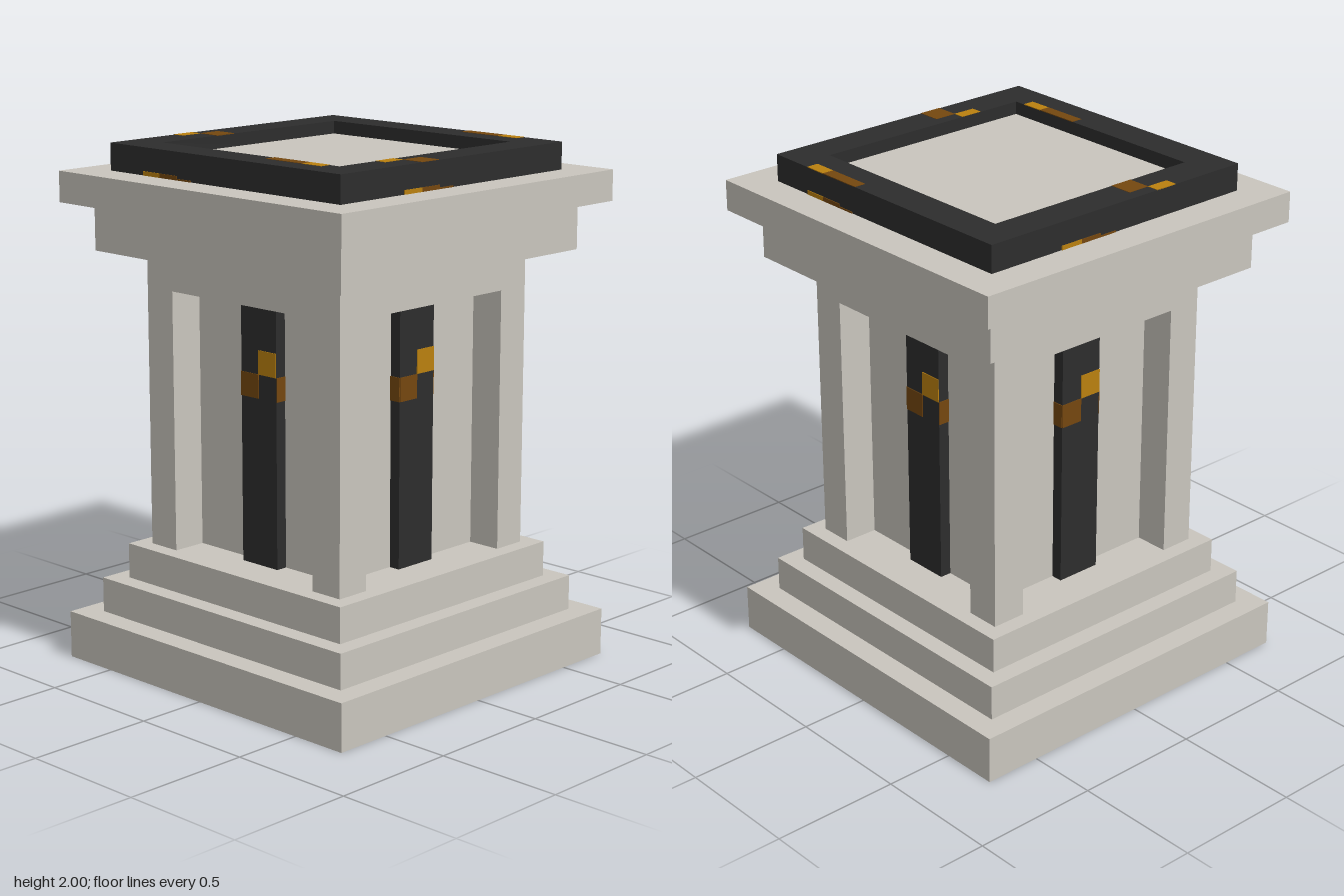
import * as THREE from 'three';

export function createModel() {
  const model = new THREE.Group();
  model.name = 'pedestal';
  const mat = (name, color) => {
    const m = new THREE.MeshStandardMaterial({ color });
    m.name = name;
    return m;
  };
  const stone = mat('pale stone', 0xc9c5bd);
  const dark = mat('charcoal', 0x2d2d2d);
  const gold = mat('gold', 0xba800f);
  const brown = mat('brown', 0x74470f);

  // Box given by its extents along each axis
  const box = (parent, name, material, [x0, x1], [y0, y1], [z0, z1]) => {
    const mesh = new THREE.Mesh(new THREE.BoxGeometry(x1 - x0, y1 - y0, z1 - z0), material);
    mesh.position.set((x0 + x1) / 2, (y0 + y1) / 2, (z0 + z1) / 2);
    mesh.name = name;
    parent.add(mesh);
  };
  const slab = (name, r, y0, y1) => box(model, name, stone, [-r, r], [y0, y1], [-r, r]);

  // Stepped base, recessed core, lintel and cornice
  slab('plinth', 0.727, 0, 0.183);
  slab('middleStep', 0.636, 0.183, 0.319);
  slab('upperStep', 0.564, 0.319, 0.456);
  slab('core', 0.364, 0.456, 1.458);
  slab('lintel', 0.5, 1.458, 1.596);
  slab('lowerCornice', 0.636, 1.596, 1.778);
  slab('upperCornice', 0.727, 1.778, 1.896);
  slab('topPanel', 0.455, 1.896, 1.95);

  // Corner pillars
  for (const sx of [-1, 1]) for (const sz of [-1, 1]) {
    const span = (s) => (s > 0 ? [0.364, 0.5] : [-0.5, -0.364]);
    box(model, 'cornerPillar', stone, span(sx), [0.456, 1.458], span(sz));
  }

  // Square frame on the top
  const square = (path, r) => path.moveTo(-r, -r).lineTo(r, -r).lineTo(r, r).lineTo(-r, r).closePath();
  const outline = square(new THREE.Shape(), 0.591);
  outline.holes.push(square(new THREE.Path(), 0.455));
  const frameGeo = new THREE.ExtrudeGeometry(outline, { depth: 0.104, bevelEnabled: false });
  frameGeo.rotateX(-Math.PI / 2);
  const frame = new THREE.Mesh(frameGeo, dark);
  frame.position.y = 1.896;
  frame.name = 'topFrame';
  model.add(frame);

  // Each side: dark strip with painted squares, and marks along the frame's foot
  const t = 0.003;
  for (let i = 0; i < 4; i++) {
    const side = new THREE.Group();
    side.name = 'sidePanel';
    side.rotation.y = (i * Math.PI) / 2;
    model.add(side);
    box(side, 'strip', dark, [-0.091, 0.091], [0.456, 1.458], [0.36, 0.409]);
    box(side, 'goldSquare', gold, [0, 0.091], [1.185, 1.276], [0.409, 0.409 + t]);
    box(side, 'brownSquare', brown, [-0.091, 0], [1.094, 1.185], [0.409, 0.409 + t]);
    for (const x of [-0.091 - t, 0.091])
      box(side, 'brownEdge', brown, [x, x + t], [1.094, 1.185], [0.364, 0.409]);

    const s = i % 2 ? 0.136 : 0;
    const x = -0.409 + s;
    const z = [0.591, 0.591 + t];
    box(side, 'goldFrameMark', gold, [x, x + 0.091], [1.896, 1.912], z);
    box(side, 'brownFrameMark', brown, [x + 0.091, x + 0.182], [1.896, 1.912], z);
    box(side, 'brownFrameLine', brown, [x + 0.182, x + 0.255], [1.896, 1.902], z);
  }

  // Painted marks on the top of the frame
  const y = [2 - t / 2, 2 + t / 2];
  for (const z of [[-0.591, -0.545], [0.455, 0.5]]) {
    box(model, 'brownTopMark', brown, [0.136, 0.318], y, z);
    box(model, 'goldTopMark', gold, [0.318, 0.409], y, z);
  }
  for (const [a, b, c, d] of [[-0.545, -0.455, -0.591, -0.545], [0.5, 0.591, 0.455, 0.5]]) {
    box(model, 'brownTopMark', brown, [a, b], y, [0.091, 0.182]);
    box(model, 'goldTopMark', gold, [c, d], y, [0.182, 0.273]);
  }
  return model;
}
